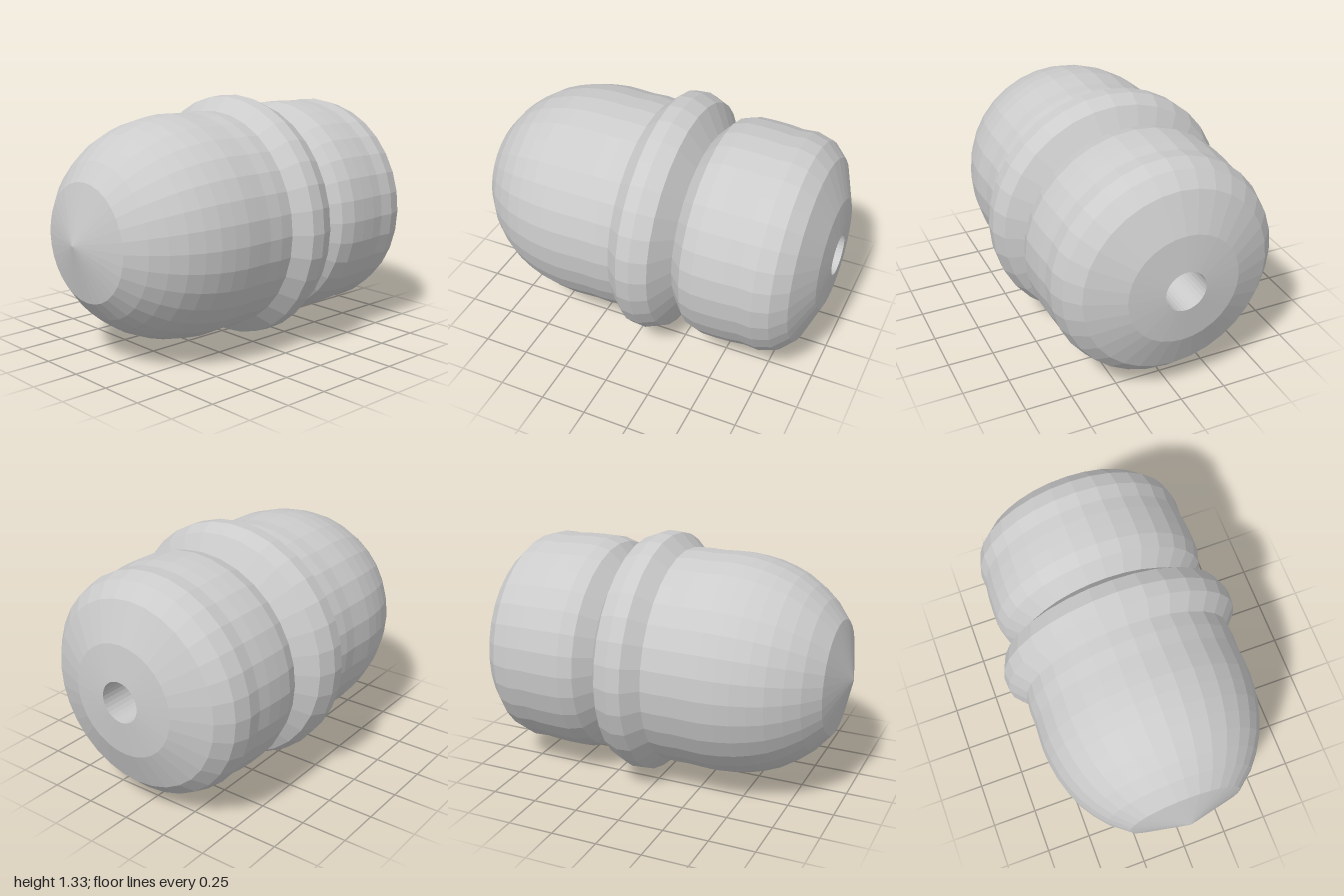
import * as THREE from 'three';

const SIDES = 32;
const CENTRE_Y = 0.665;

// Profiles are [radius, z] pairs, running from back to front.
const PROFILES = {
  // closed bore in the back face
  rearBore: [[0, -0.72], [0.11, -0.72], [0.11, -1]],
  // rounded barrel behind the groove
  rearBarrel: [
    [0.11, -1], [0.3, -0.98], [0.5, -0.9], [0.572, -0.825], [0.597, -0.74], [0.592, -0.66],
    [0.6, -0.585], [0.603, -0.5], [0.602, -0.42], [0.58, -0.345], [0.495, -0.268],
  ],
  // raised band around the middle
  collar: [[0.495, -0.268], [0.63, -0.19], [0.665, -0.105], [0.66, -0.03], [0.587, 0.05]],
  // domed front ending in a shallow cone
  nose: [
    [0.587, 0.05], [0.594, 0.13], [0.591, 0.21], [0.595, 0.29], [0.597, 0.36], [0.589, 0.445],
    [0.575, 0.525], [0.551, 0.605], [0.518, 0.685], [0.467, 0.765], [0.405, 0.84], [0.308, 0.92], [0, 1],
  ],
};

export function createModel() {
  const model = new THREE.Group();
  model.name = 'ribbedPlug';
  const material = new THREE.MeshStandardMaterial({ color: 0xcccccc, flatShading: true });

  for (const [name, profile] of Object.entries(PROFILES)) {
    const points = profile.map(([r, z]) => new THREE.Vector2(r, z));
    const geometry = new THREE.LatheGeometry(points, SIDES);
    geometry.rotateX(Math.PI / 2); // lay the axis along z, nose forward
    const mesh = new THREE.Mesh(geometry, material);
    mesh.name = name;
    mesh.position.y = CENTRE_Y;
    model.add(mesh);
  }
  return model;
}
